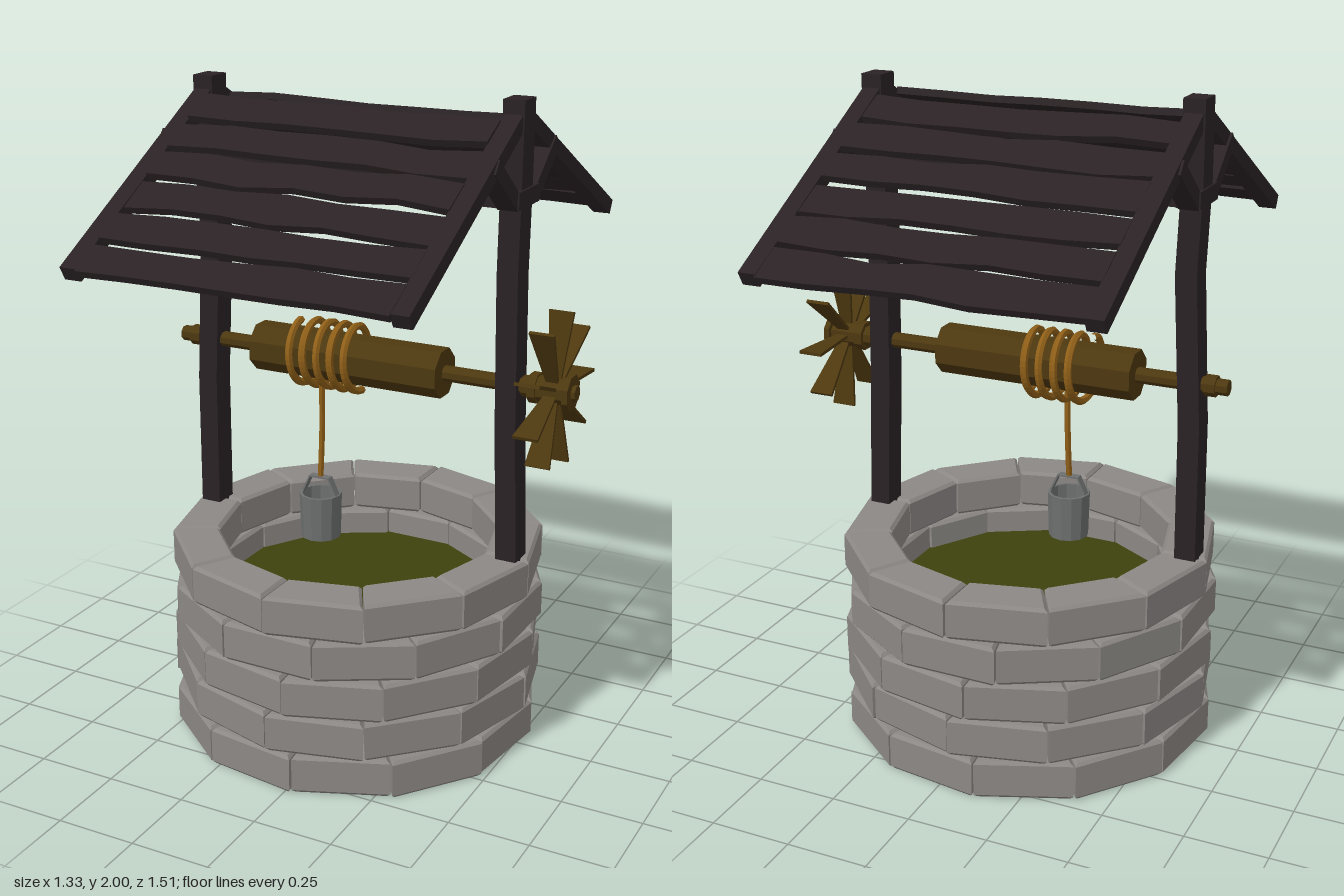
import * as THREE from 'three';

const mat = (color, extra = {}) => new THREE.MeshStandardMaterial({ color, flatShading: true, ...extra });
const MAT = {
  stone: mat(0x8c8885),
  wood: mat(0x2a2224),
  brass: mat(0x4d380f),
  rope: mat(0x8f5f18),
  metal: mat(0x6e7070, { side: THREE.DoubleSide }),
  water: mat(0x3c420c, { side: THREE.DoubleSide }),
};

let seed = 7;
const rnd = (a) => {
  seed = (seed * 16807) % 2147483647;
  return (seed / 2147483647 * 2 - 1) * a;
};

function add(parent, name, geo, material, x = 0, y = 0, z = 0) {
  const m = new THREE.Mesh(geo, material);
  m.name = name;
  m.position.set(x, y, z);
  parent.add(m);
  return m;
}

const CX = -0.05;      // centre of the well
const AXLE_Y = 1.175;  // height of the windlass

// One bevelled wedge stone, its outer face towards +z
function stoneGeometry(rOut, rIn, height) {
  const h = Math.PI / 12 - 0.004, b = 0.01;
  const s = new THREE.Shape([[rOut, -h], [rOut, h], [rIn, h], [rIn, -h]].map(
    ([r, a]) => new THREE.Vector2(r * Math.sin(a), -r * Math.cos(a))));
  const g = new THREE.ExtrudeGeometry(s, {
    depth: height - 2 * b, bevelThickness: b, bevelSize: b, bevelOffset: -b, bevelSegments: 1,
  });
  return g.rotateX(-Math.PI / 2).translate(0, b, 0);
}

function buildWall() {
  const wall = new THREE.Group();
  wall.name = 'stoneWall';
  wall.position.x = CX;
  const turns = [7, -1, 4.5, 14, -1];
  turns.forEach((deg, row) => {
    for (let i = 0; i < 12; i++) {
      const j = rnd(0.005);
      const m = add(wall, 'stone', stoneGeometry(0.58 + j, 0.435 + j, 0.122), MAT.stone, 0, row * 0.1268, 0);
      m.rotation.y = THREE.MathUtils.degToRad(deg + 15 + i * 30);
    }
  });
  return wall;
}

// Slightly bent post: the box follows a few [y, x] centres
function postGeometry(path) {
  const g = new THREE.BoxGeometry(0.065, 1, 0.08, 1, path.length - 1, 1);
  const p = g.attributes.position;
  for (let i = 0; i < p.count; i++) {
    const [y, x] = path[Math.round((p.getY(i) + 0.5) * (path.length - 1))];
    p.setXYZ(i, p.getX(i) + x, y, p.getZ(i));
  }
  return g;
}

// Plank with wavy long edges
function plankGeometry() {
  const n = 6;
  const g = new THREE.BoxGeometry(0.95, 0.022, 0.108, n, 1, 1);
  const p = g.attributes.position;
  const edge = [-1, 1].map(() => Array.from({ length: n + 1 }, () => rnd(0.009)));
  const lift = Array.from({ length: n + 1 }, () => rnd(0.004));
  for (let i = 0; i < p.count; i++) {
    const k = Math.round((p.getX(i) / 0.95 + 0.5) * n);
    p.setZ(i, p.getZ(i) + edge[p.getZ(i) > 0 ? 1 : 0][k]);
    p.setY(i, p.getY(i) + lift[k]);
  }
  return g;
}

function buildFrame() {
  const frame = new THREE.Group();
  frame.name = 'frame';
  add(frame, 'rightPost', postGeometry([[0.62, -0.568], [1.05, -0.565], [1.5, -0.541], [1.75, -0.55], [2, -0.548]]), MAT.wood);
  add(frame, 'leftPost', postGeometry([[0.62, 0.466], [1.05, 0.452], [1.5, 0.446], [1.75, 0.45], [2, 0.452]]), MAT.wood);
  add(frame, 'tieBeam', new THREE.BoxGeometry(0.98, 0.07, 0.075), MAT.wood, -0.048, 1.73, 0);

  // Braces between posts and rafters
  for (const x of [-0.553, 0.455]) {
    add(frame, 'braceFoot', new THREE.BoxGeometry(0.07, 0.05, 0.15), MAT.wood, x, 1.728, 0);
    for (const s of [-1, 1]) {
      const b = add(frame, 'brace', new THREE.BoxGeometry(0.06, 0.045, 0.21), MAT.wood, x, 1.783, s * 0.14);
      b.rotation.x = -s * 0.68;
    }
  }
  return frame;
}

function buildRoof() {
  const roof = new THREE.Group();
  roof.name = 'roof';
  for (const turn of [0, Math.PI]) {
    const side = new THREE.Group();
    side.name = 'roofSide';
    side.position.set(-0.048, 1.956, 0);
    side.rotation.y = turn;
    const slope = new THREE.Group();
    slope.name = 'slope';
    slope.rotation.x = 0.503;
    side.add(slope);
    for (const x of [-0.5, 0.5]) {
      add(slope, 'rafter', new THREE.BoxGeometry(0.055, 0.045, 0.82), MAT.wood, x, 0, 0.425);
    }
    for (let i = 0; i < 6; i++) {
      const m = add(slope, 'plank', plankGeometry(), MAT.wood, 0, 0.014 + rnd(0.004), 0.115 + i * 0.134);
      m.rotation.x = rnd(0.04);
    }
    roof.add(side);
  }
  return roof;
}

function buildWindlass() {
  const w = new THREE.Group();
  w.name = 'windlass';
  w.position.y = AXLE_Y;
  const rod = (name, x0, x1, r, sides = 8) => add(w, name,
    new THREE.CylinderGeometry(r, r, x1 - x0, sides).rotateZ(Math.PI / 2).rotateX(Math.PI / 8),
    MAT.brass, (x0 + x1) / 2);
  rod('axle', -0.67, 0.655, 0.024);
  rod('drum', -0.39, 0.24, 0.077);
  rod('endCollar', -0.635, -0.6, 0.032);
  rod('innerCollar', 0.49, 0.515, 0.032);
  rod('outerCollar', 0.515, 0.54, 0.046);
  rod('hub', 0.535, 0.63, 0.04);
  rod('hubCap', 0.625, 0.643, 0.055);

  // Nine flared paddles
  const blade = new THREE.ExtrudeGeometry(new THREE.Shape([
    [-0.018, 0.03], [0.018, 0.03], [0.038, 0.23], [-0.038, 0.23],
  ].map((q) => new THREE.Vector2(...q))), { depth: 0.01, bevelEnabled: false }).translate(0, 0, -0.005);
  for (let i = 0; i < 9; i++) {
    const m = add(w, 'paddle', blade, MAT.brass, 0.585);
    m.rotation.x = -Math.PI / 2 + i * Math.PI * 2 / 9;
  }

  // Rope wound on the drum
  const pts = [];
  for (let i = 0; i <= 72; i++) {
    const t = i / 72, a = t * Math.PI * 2 * 4.5;
    pts.push(new THREE.Vector3(-0.25 + 0.21 * t, 0.098 * Math.cos(a), 0.102 * Math.sin(a) - 0.01));
  }
  add(w, 'ropeCoil', new THREE.TubeGeometry(new THREE.CatmullRomCurve3(pts), 180, 0.012, 6), MAT.rope);
  return w;
}

function buildBucket() {
  const b = new THREE.Group();
  b.name = 'bucket';
  b.position.set(-0.153, 0, 0.055);
  const profile = [[0, 0.6], [0.062, 0.6], [0.066, 0.742], [0.057, 0.742], [0.055, 0.615], [0, 0.615]];
  add(b, 'bucketBody', new THREE.LatheGeometry(profile.map((q) => new THREE.Vector2(...q)), 12), MAT.metal);

  // Bail handle, a thin bent strip
  const o = [[-0.063, 0.735], [-0.034, 0.797], [0.034, 0.797], [0.063, 0.735]];
  const i = [[0.057, 0.735], [0.031, 0.792], [-0.031, 0.792], [-0.057, 0.735]];
  const strip = new THREE.Shape([...o, ...i].map((q) => new THREE.Vector2(...q)));
  add(b, 'handle', new THREE.ExtrudeGeometry(strip, { depth: 0.025, bevelEnabled: false }), MAT.metal, 0, 0, -0.0125);

  // Hanging rope
  const line = new THREE.CatmullRomCurve3([
    new THREE.Vector3(0.008, 1.1, 0), new THREE.Vector3(0.004, 0.95, -0.006), new THREE.Vector3(0, 0.79, 0),
  ]);
  add(b, 'hangingRope', new THREE.TubeGeometry(line, 8, 0.01, 6), MAT.rope);
  return b;
}

export function createModel() {
  const model = new THREE.Group();
  model.name = 'well';
  model.add(buildWall(), buildFrame(), buildRoof(), buildWindlass(), buildBucket());
  add(model, 'water', new THREE.CircleGeometry(0.46, 12).rotateX(-Math.PI / 2), MAT.water, CX, 0.42, 0);
  return model;
}
